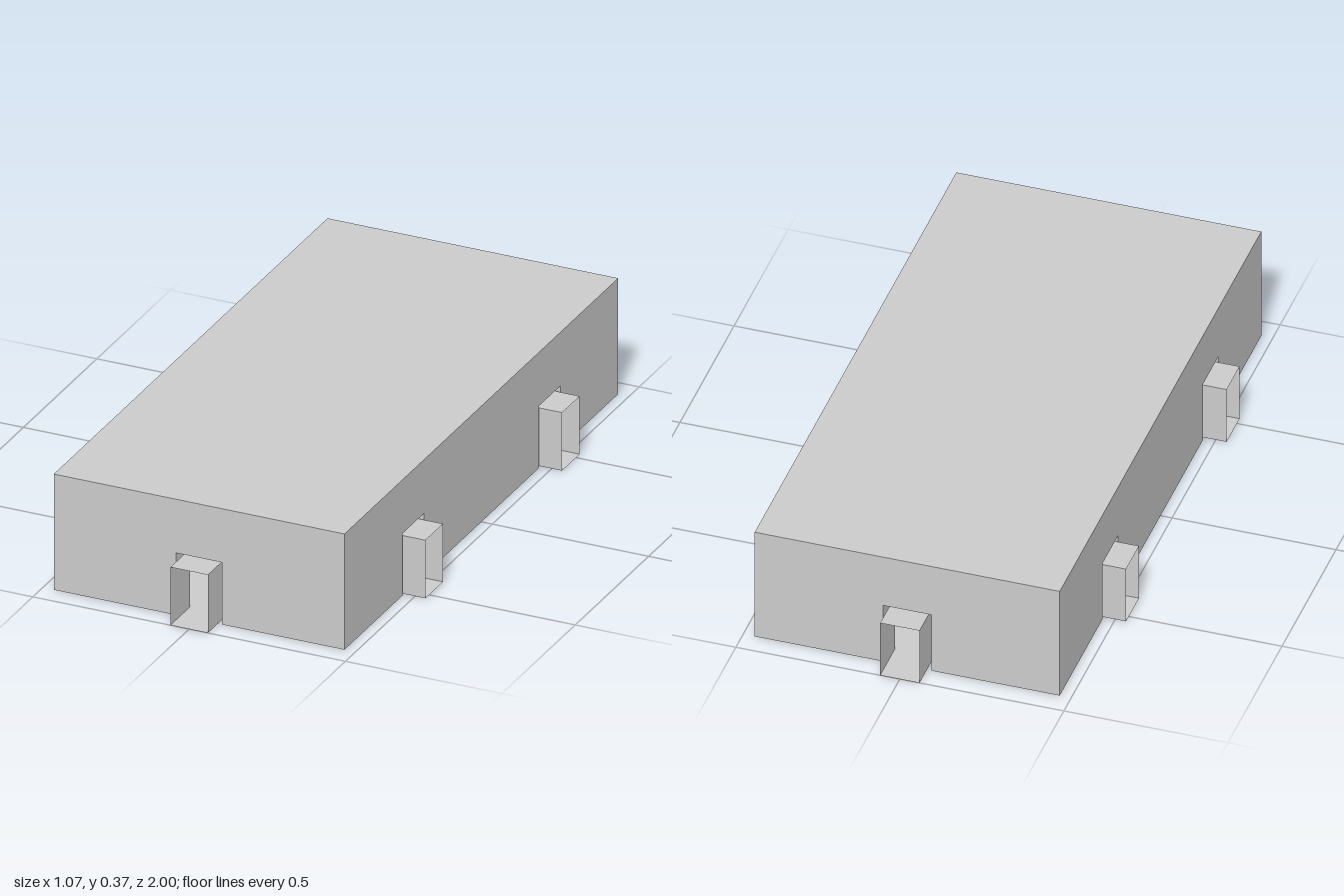
import * as THREE from 'three';

const HALF_X = 0.465, HALF_Z = 0.932, HEIGHT = 0.373;
const DOOR = { half: 0.06, top: 0.187, out: 0.068 };      // passage sleeve
const RECESS = { half: 0.0733, top: 0.2, depth: 0.067 };  // pocket in the wall around it

const material = new THREE.MeshStandardMaterial({ color: 0xcccccc, flatShading: true, side: THREE.DoubleSide });

function add(parent, name, geometry) {
  const mesh = new THREE.Mesh(geometry, material);
  mesh.name = name;
  parent.add(mesh);
  return mesh;
}

// Flat upright sheet with doorway notches open at the bottom edge
function notchedSheet(half, height, centres, notch) {
  const points = [[-half, 0]];
  for (const c of centres) {
    points.push([c - notch.half, 0], [c - notch.half, notch.top], [c + notch.half, notch.top], [c + notch.half, 0]);
  }
  points.push([half, 0], [half, height], [-half, height]);
  return new THREE.ShapeGeometry(new THREE.Shape(points.map(p => new THREE.Vector2(...p))));
}

// Two sides and a top running from z0 to z1
function sleeve(name, half, top, z0, z1) {
  const group = new THREE.Group();
  group.name = name;
  const depth = z1 - z0, mid = (z0 + z1) / 2;
  for (const s of [-1, 1]) {
    add(group, name + 'Side', new THREE.PlaneGeometry(depth, top).rotateY(s * Math.PI / 2).translate(s * half, top / 2, mid));
  }
  add(group, name + 'Top', new THREE.PlaneGeometry(half * 2, depth).rotateX(-Math.PI / 2).translate(0, top, mid));
  return group;
}

// Doorway: protruding passage, recess lining and the ring between them
function doorway() {
  const group = new THREE.Group();
  group.name = 'doorway';
  group.add(sleeve('passage', DOOR.half, DOOR.top, -RECESS.depth, DOOR.out));
  group.add(sleeve('recess', RECESS.half, RECESS.top, -RECESS.depth, 0));
  add(group, 'recessBack', notchedSheet(RECESS.half, RECESS.top, [0], DOOR)).position.z = -RECESS.depth;
  return group;
}

export function createModel() {
  const model = new THREE.Group();
  model.name = 'building';
  const end = { half: HALF_X, out: HALF_Z, doors: [0] };
  const side = { half: HALF_Z, out: HALF_X, doors: [-0.465, 0.465] };
  const floorPoints = [];

  // Four walls, turned around the centre
  [end, side, end, side].forEach((w, i) => {
    const a = i * Math.PI / 2;
    const wall = new THREE.Group();
    wall.name = ['frontWall', 'leftWall', 'backWall', 'rightWall'][i];
    wall.rotation.y = a;
    add(wall, 'wallSheet', notchedSheet(w.half, HEIGHT, w.doors, RECESS)).position.z = w.out;

    // Floor outline follows each recess and passage
    const corner = (u, d) => floorPoints.push(new THREE.Vector2(
      u * Math.cos(a) + (w.out + d) * Math.sin(a),
      u * Math.sin(a) - (w.out + d) * Math.cos(a)));
    corner(-w.half, 0);
    for (const c of w.doors) {
      const door = doorway();
      door.position.set(c, 0, w.out);
      wall.add(door);
      corner(c - RECESS.half, 0);
      corner(c - RECESS.half, -RECESS.depth);
      corner(c - DOOR.half, -RECESS.depth);
      corner(c - DOOR.half, DOOR.out);
      corner(c + DOOR.half, DOOR.out);
      corner(c + DOOR.half, -RECESS.depth);
      corner(c + RECESS.half, -RECESS.depth);
      corner(c + RECESS.half, 0);
    }
    model.add(wall);
  });

  // Floor and flat roof
  add(model, 'floor', new THREE.ShapeGeometry(new THREE.Shape(floorPoints)).rotateX(-Math.PI / 2));
  add(model, 'roof', new THREE.PlaneGeometry(HALF_X * 2, HALF_Z * 2).rotateX(-Math.PI / 2).translate(0, HEIGHT, 0));
  return model;
}
